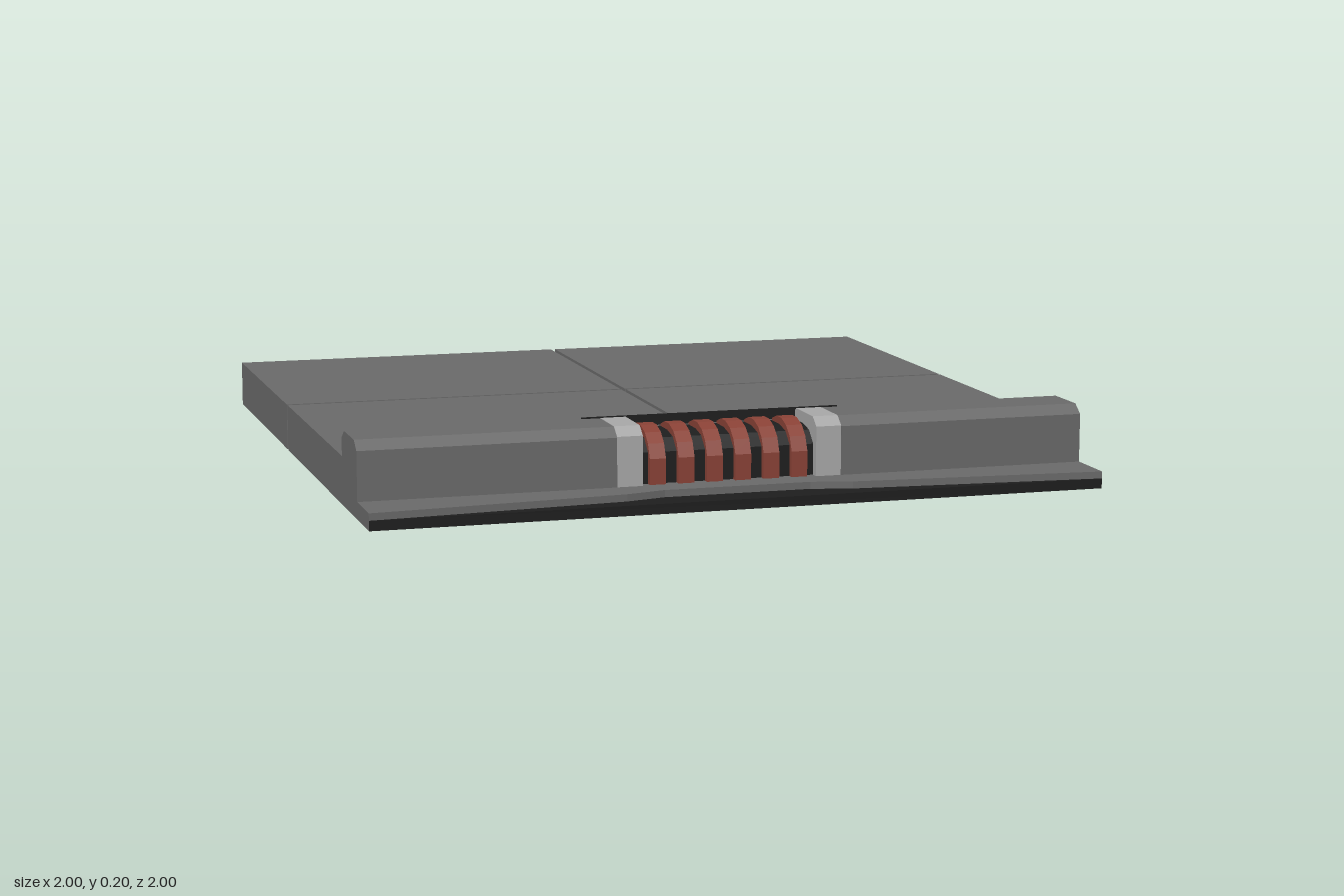
import * as THREE from 'three';

const mat = (color) => new THREE.MeshStandardMaterial({ color, flatShading: true });

export function createModel() {
  const root = new THREE.Group();
  const body = mat(0x6a6a6a), light = mat(0xa8a8a8), dark = mat(0x1e1e1e), red = mat(0x8a4236);

  const add = (name, geometry, material, parent = root) => {
    const mesh = new THREE.Mesh(geometry, material);
    mesh.name = name;
    parent.add(mesh);
    return mesh;
  };
  const box = (name, x0, x1, y0, y1, z0, z1, material) => {
    const g = new THREE.BoxGeometry(x1 - x0, y1 - y0, z1 - z0);
    g.translate((x0 + x1) / 2, (y0 + y1) / 2, (z0 + z1) / 2);
    return add(name, g, material);
  };
  const shapeOf = (pts) => new THREE.Shape(pts.map(([a, b]) => new THREE.Vector2(a, b)));
  // Sweeps a side profile of [z, y] points along x
  const sweep = (pts, x0, x1) => {
    const g = new THREE.ExtrudeGeometry(shapeOf(pts), { depth: x1 - x0, bevelEnabled: false });
    return g.rotateY(-Math.PI / 2).translate(x1, 0, 0);
  };
  // Raises a plan outline of [x, z] points from y0 to y1
  const raise = (pts, y0, y1) => {
    const g = new THREE.ExtrudeGeometry(shapeOf(pts.map(([x, z]) => [x, -z])), { depth: y1 - y0, bevelEnabled: false });
    return g.rotateX(-Math.PI / 2).translate(0, y0, 0);
  };

  // Floor slab: a base with four panels separated by shallow grooves
  box('floorBase', -0.998, 0.998, 0, 0.115, -0.998, 0.66, body);
  const gap = 0.007, mid = -0.18;
  for (const [x0, x1] of [[-1, -gap], [gap, 1]])
    for (const [z0, z1] of [[-1, mid - gap], [mid + gap, 0.65]])
      box('floorPanel', x0, x1, 0, 0.13, z0, z1, body);

  // Front ledge with a recessed middle, above a dark kick strip
  const edge = [[-1, 1], [-0.31, 0.945], [-0.2, 0.918], [0.2, 0.918], [0.31, 0.945], [1, 1]];
  add('frontLedge', raise([[-1, 0.65], ...edge, [1, 0.65]], 0, 0.046), body);
  add('kickStrip', raise([...edge, [-1, 1]].slice(0, 6), 0, 0.027), dark);

  // Raised curb on both sides of the central opening
  const curb = [[0.65, 0.04], [0.85, 0.04], [0.85, 0.178], [0.817, 0.202], [0.685, 0.202], [0.65, 0.18]];
  const endBlock = [[0.665, 0.04], [0.849, 0.04], [0.849, 0.18], [0.819, 0.203], [0.685, 0.203], [0.665, 0.192]];
  for (const s of [-1, 1]) {
    add('curb', sweep(curb, s > 0 ? 0.31 : -1, s > 0 ? 1 : -0.31), body);
    add('endBlock', sweep(endBlock, s > 0 ? 0.24 : -0.31, s > 0 ? 0.31 : -0.24), light);
  }
  box('openingBackWall', -0.31, 0.31, 0.04, 0.18, 0.65, 0.675, body);

  // Dark liner, seen from the front only
  const liner = new THREE.PlaneGeometry(0.72, 0.03);
  liner.translate(0, 0.19, 0.676);
  add('openingLiner', liner, dark);

  // Dark core with red ribs bent over it
  const core = [[0.67, 0.04], [0.825, 0.04], [0.825, 0.13], [0.79, 0.162], [0.74, 0.172], [0.67, 0.172]];
  add('ribCore', sweep(core, -0.24, 0.24), dark);
  const rib = [[0.676, 0.045], [0.843, 0.045], [0.843, 0.115], [0.825, 0.153], [0.795, 0.178], [0.755, 0.191], [0.715, 0.191], [0.676, 0.178]];
  const ribs = new THREE.Group();
  ribs.name = 'ribs';
  root.add(ribs);
  for (let i = 0; i < 6; i++) {
    const x = -0.197 + i * 0.0785;
    add('rib', sweep(rib, x - 0.022, x + 0.022), red, ribs);
  }
  return root;
}
